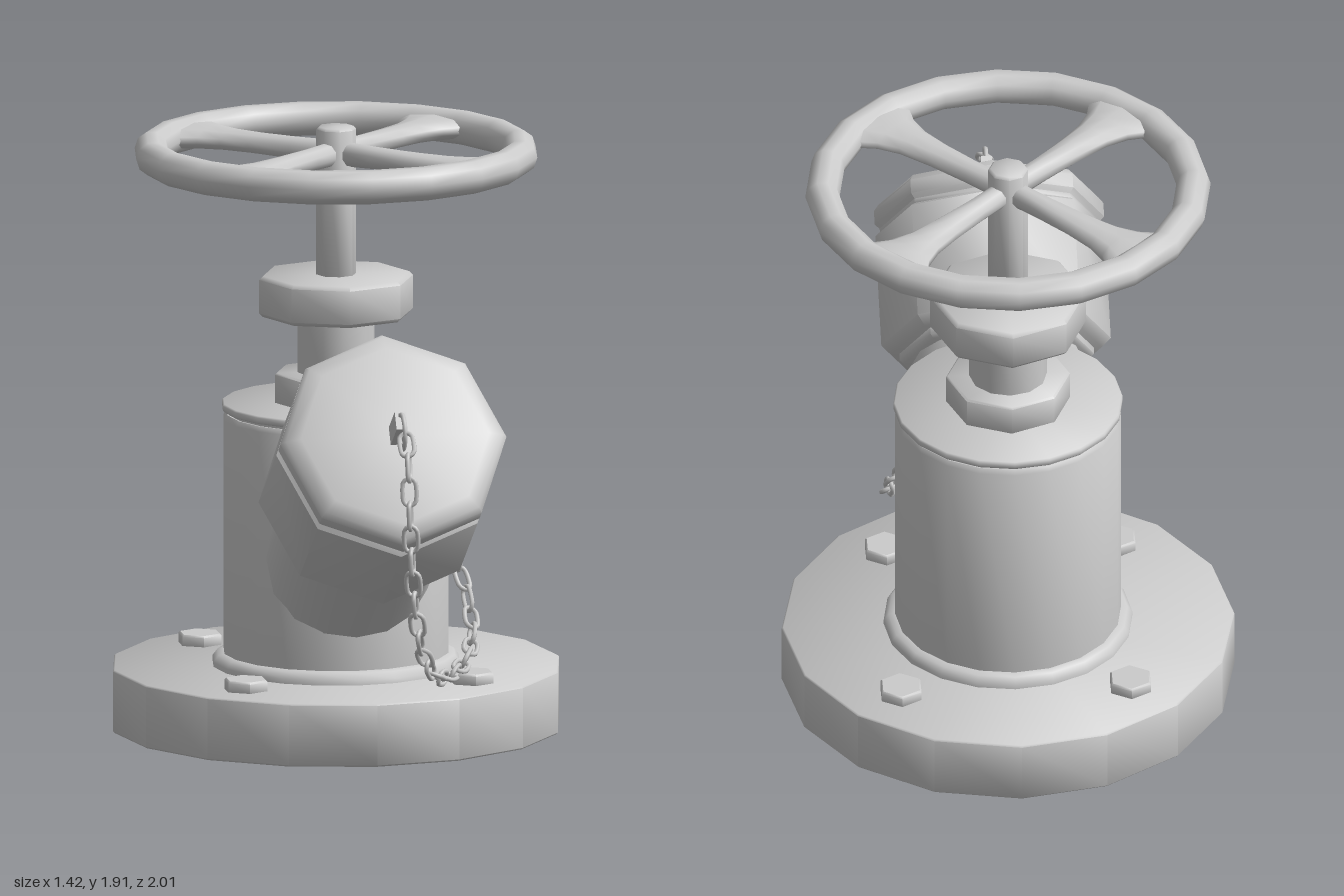
import * as THREE from 'three';
import { toCreasedNormals } from 'three/addons/utils/BufferGeometryUtils.js';

const AXIS_Z = -0.29; // vertical axis of the valve body
const V = (x, y, z) => new THREE.Vector3(x, y, z);

export function createModel() {
  const model = new THREE.Group();
  const material = new THREE.MeshStandardMaterial({ color: 0xcccccc });

  function add(name, geometry, parent = model) {
    const mesh = new THREE.Mesh(geometry, material);
    mesh.name = name;
    parent.add(mesh);
    return mesh;
  }
  // Turned part: profile of [radius, height] from bottom to top
  function turned(name, profile, sides, parent) {
    const points = profile.map(([r, y]) => new THREE.Vector2(r, y));
    return add(name, toCreasedNormals(new THREE.LatheGeometry(points, sides), 0.85), parent);
  }
  // Closed disc with a small bevel on both rims
  const disc = (r, y0, y1, b = 0.01) =>
    [[0, y0], [r - b, y0], [r, y0 + b], [r, y1 - b], [r - b, y1], [0, y1]];

  // Upright parts on the valve axis
  const valve = new THREE.Group();
  valve.name = 'valve';
  valve.position.z = AXIS_Z;
  model.add(valve);
  turned('baseFlange', disc(0.71, 0, 0.2, 0.005), 16, valve);
  turned('body', [[0, 0.19], [0.39, 0.19], [0.39, 0.215], [0.375, 0.235], [0.355, 0.24],
    [0.355, 0.985], [0.345, 1.0], [0, 1.0]], 20, valve);
  turned('bodyGasket', [[0.34, 0.99], [0.34, 1.02]], 20, valve);
  turned('bodyCover', disc(0.36, 1.01, 1.035, 0.005), 20, valve);
  turned('bonnetNut', disc(0.195, 1.03, 1.13, 0.006), 8, valve);
  turned('bonnetNeck', [[0.122, 1.12], [0.122, 1.32]], 12, valve);
  turned('gland', disc(0.245, 1.31, 1.44, 0.012), 8, valve);
  turned('stem', disc(0.063, 1.43, 1.91, 0.008), 8, valve);

  // Flange bolts
  for (const sx of [-1, 1]) for (const sz of [-1, 1]) {
    const bolt = turned('flangeBolt', disc(0.072, 0.19, 0.235, 0.006), 6, valve);
    bolt.position.set(sx * 0.36, 0, sz * 0.395);
  }

  // Handwheel: rim and four spokes that widen into it
  const wheel = new THREE.Group();
  wheel.name = 'handwheel';
  wheel.position.y = 1.825;
  valve.add(wheel);
  const rim = new THREE.TorusGeometry(0.582, 0.054, 10, 20);
  add('wheelRim', rim.rotateX(Math.PI / 2), wheel);

  // [distance from hub, half width, half thickness]
  const sections = [[0.02, 0.035, 0.04], [0.15, 0.04, 0.036], [0.3, 0.052, 0.034],
    [0.4, 0.065, 0.034], [0.47, 0.09, 0.036], [0.53, 0.135, 0.038], [0.58, 0.17, 0.036]];
  const last = sections.length - 1;
  const spoke = new THREE.CylinderGeometry(1, 1, 1, 10, last, true);
  const pos = spoke.attributes.position;
  for (let i = 0; i < pos.count; i++) {
    const [r, w, h] = sections[Math.round((pos.getY(i) + 0.5) * last)];
    pos.setXYZ(i, pos.getX(i) * w, r, pos.getZ(i) * h);
  }
  spoke.rotateX(Math.PI / 2);
  spoke.computeVertexNormals();
  for (let i = 0; i < 4; i++) {
    add('wheelSpoke', spoke, wheel).rotation.y = Math.PI / 4 + i * Math.PI / 2;
  }

  // Tilted outlet with its octagonal cap
  const outlet = new THREE.Group();
  outlet.name = 'outlet';
  outlet.position.set(0, 0.427, AXIS_Z);
  outlet.rotation.x = THREE.MathUtils.degToRad(56);
  model.add(outlet);
  turned('outletNeck', [[0, 0.05], [0.265, 0.05], [0.265, 0.7]], 16, outlet);
  turned('capCollar', disc(0.305, 0.672, 0.72, 0.012), 8, outlet);
  turned('outletCap', [[0, 0.705], [0.33, 0.705], [0.36, 0.735], [0.36, 1.105], [0.345, 1.115],
    [0.345, 1.13], [0.36, 1.145], [0.36, 1.19], [0.345, 1.21], [0.3, 1.228], [0, 1.228]], 8, outlet);
  add('capLug', new THREE.BoxGeometry(0.035, 0.14, 0.06), outlet).position.set(0, 1.28, 0);

  // Lug on the side of the body
  const lug = add('bodyLug', new THREE.BoxGeometry(0.05, 0.21, 0.055));
  lug.position.set(0.3, 0.705, -0.075);

  // Rings that hold the chain ends
  const ring = new THREE.TorusGeometry(0.055, 0.008, 6, 16).rotateY(Math.PI / 2);
  add('capRing', ring).position.set(0, 1.148, 0.845);
  add('bodyRing', ring).position.set(0.31, 0.63, -0.075);

  // Chain hanging between the rings
  const path = new THREE.CatmullRomCurve3([
    V(0, 1.15, 0.9), V(0, 1.09, 0.95), V(0, 0.95, 0.978), V(0.01, 0.765, 0.96),
    V(0.03, 0.604, 0.914), V(0.065, 0.455, 0.834), V(0.12, 0.353, 0.727),
    V(0.19, 0.31, 0.583), V(0.26, 0.31, 0.433), V(0.325, 0.348, 0.273),
    V(0.35, 0.417, 0.139), V(0.34, 0.524, 0.032), V(0.315, 0.6, -0.04)]);
  const oval = [];
  for (let i = 0; i < 12; i++) {
    const a = (i + 0.5) * Math.PI / 6;
    oval.push(V(Math.cos(a) * 0.021 + Math.sign(Math.cos(a)) * 0.022, Math.sin(a) * 0.021, 0));
  }
  const link = new THREE.TubeGeometry(new THREE.CatmullRomCurve3(oval, true), 20, 0.0075, 6, true);
  const chain = new THREE.Group();
  chain.name = 'chain';
  model.add(chain);
  const count = 24;
  for (let i = 0; i < count; i++) {
    const u = (i + 0.5) / count;
    const along = path.getTangentAt(u);
    const side = V(1, 0, 0).cross(along).normalize();
    const across = along.clone().cross(side);
    const mesh = add('chainLink', link, chain);
    mesh.quaternion.setFromRotationMatrix(new THREE.Matrix4().makeBasis(along, side, across));
    mesh.rotateX(i % 2 ? 0.35 : 0.35 + Math.PI / 2); // neighbours turn a quarter
    mesh.position.copy(path.getPointAt(u));
  }
  return model;
}
